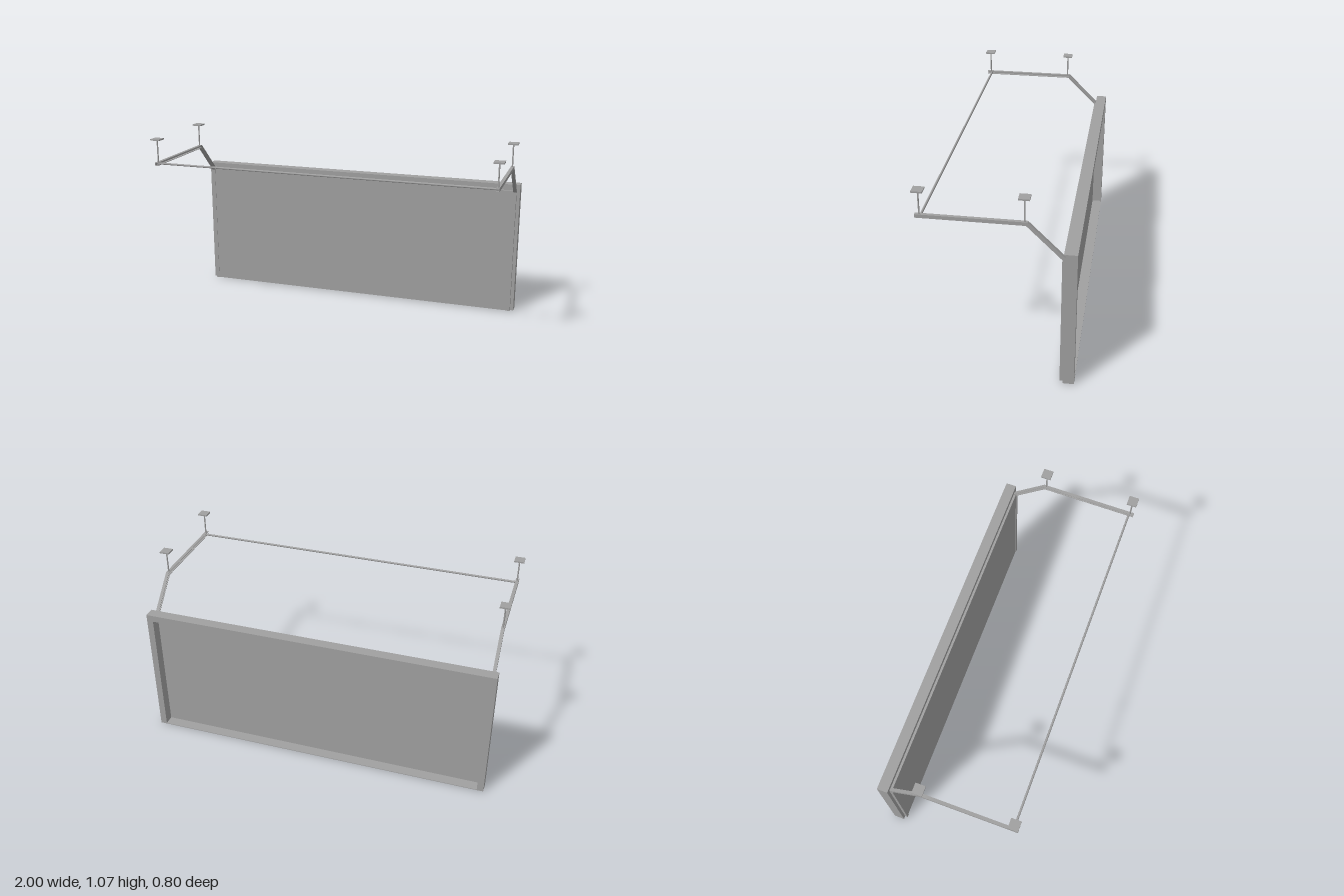
import * as THREE from 'three';

export function createModel() {
  const group = new THREE.Group();
  const steel = new THREE.MeshStandardMaterial({ color: 0xa0a0a0 });
  steel.name = 'grey steel';

  const add = (name, geometry, x = 0, y = 0, z = 0) => {
    const mesh = new THREE.Mesh(geometry, steel);
    mesh.name = name;
    mesh.position.set(x, y, z);
    group.add(mesh);
    return mesh;
  };

  // Surround: two jambs and a header, open at the bottom
  const surround = new THREE.Shape([
    [-1, 0], [-0.963, 0], [-0.963, 0.747], [0.963, 0.747],
    [0.963, 0], [1, 0], [1, 0.785], [-1, 0.785],
  ].map(([x, y]) => new THREE.Vector2(x, y)));
  add('doorSurround', new THREE.ExtrudeGeometry(surround, { depth: 0.06, bevelEnabled: false }), 0, 0, -0.4);

  // Door leaf and thin floor threshold
  add('doorPanel', new THREE.BoxGeometry(1.926, 0.75, 0.014), 0, 0.375, -0.334);
  add('threshold', new THREE.BoxGeometry(1.926, 0.004, 0.06), 0, 0.002, -0.37);

  // Channel track: outer and inner edges of its side profile as [z, y]
  const outer = [[-0.34, 0], [-0.34, 0.752], [-0.155, 0.936], [0.395, 0.936]];
  const inner = [[-0.323, 0], [-0.323, 0.742], [-0.147, 0.917], [0.395, 0.917]];
  const edge = (t) => outer.map(([z, y], i) => new THREE.Vector2(
    z + (inner[i][0] - z) * t, y + (inner[i][1] - y) * t));
  const band = (t0, t1, depth) => new THREE.ExtrudeGeometry(
    new THREE.Shape([...edge(t0), ...edge(t1).reverse()]),
    { depth, bevelEnabled: false }).rotateY(-Math.PI / 2);

  for (const side of [-1, 1]) {
    const label = side > 0 ? 'left' : 'right';
    // Web on the outside, flanges pointing inwards
    add(label + 'TrackWeb', band(0, 1, 0.003), side > 0 ? 0.981 : -0.978);
    const flangeX = side > 0 ? 0.981 : -0.963;
    add(label + 'TrackOuterFlange', band(0, 0.15, 0.018), flangeX);
    add(label + 'TrackInnerFlange', band(0.85, 1, 0.018), flangeX);

    // Ceiling hangers: rod with a square mounting plate
    for (const z of [0.373, -0.14]) {
      add(label + 'HangerRod', new THREE.CylinderGeometry(0.004, 0.004, 0.132, 12), side * 0.972, 1, z);
      add(label + 'HangerPlate', new THREE.BoxGeometry(0.056, 0.008, 0.056), side * 0.972, 1.067, z);
    }
  }

  // Cross bar joining the front ends of the tracks
  add('crossBar', new THREE.CylinderGeometry(0.006, 0.006, 1.956, 12).rotateZ(Math.PI / 2), 0, 0.926, 0.368);

  return group;
}
